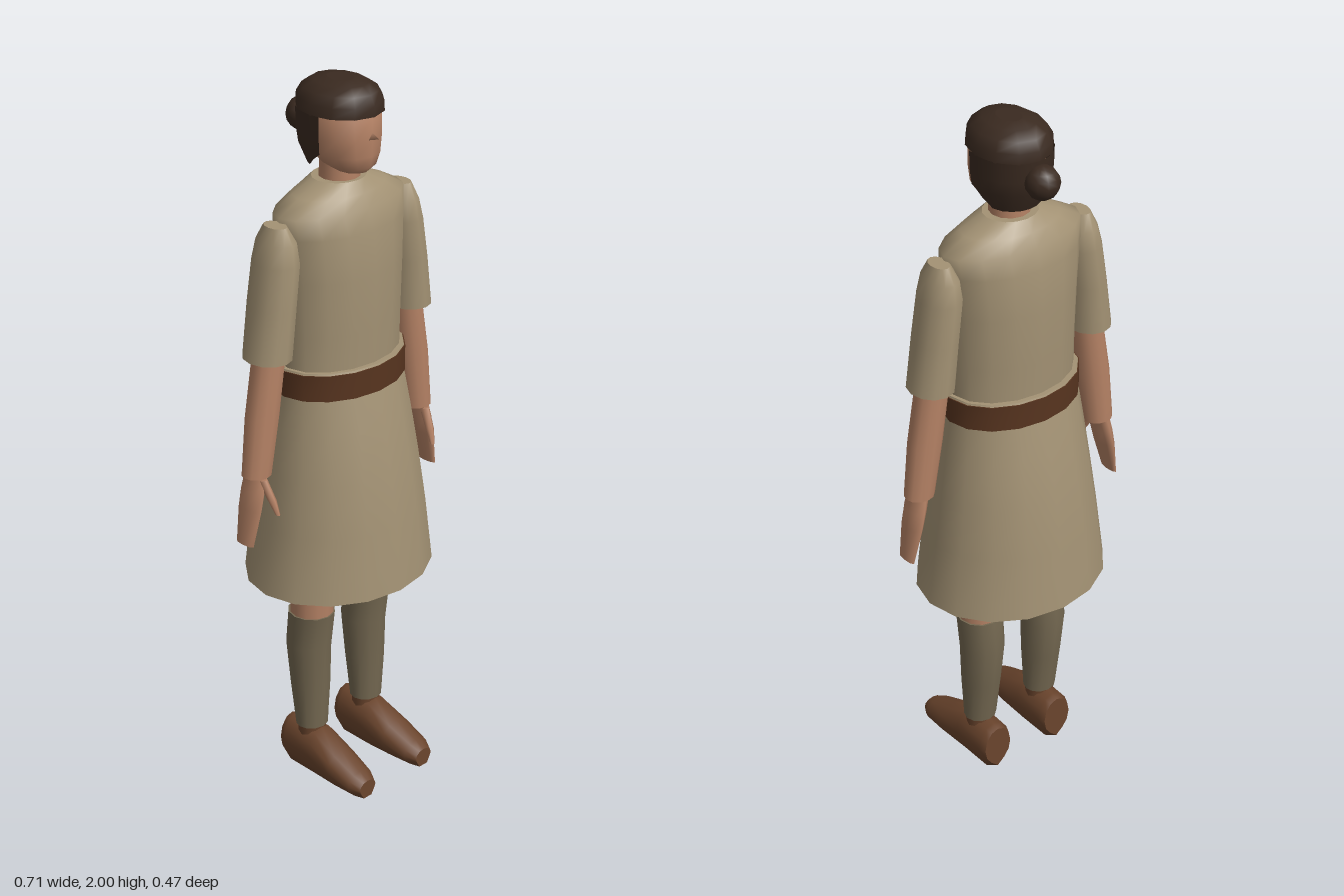
import * as THREE from 'three';

const mat = (name, color, side = THREE.FrontSide) => {
  const m = new THREE.MeshStandardMaterial({ color, side });
  m.name = name;
  return m;
};

// Lofts elliptical rings [height, centreX, centreZ, radiusX, radiusZ], listed bottom to top.
// An arc below a full turn gives an open shell.
function loft(rings, { sides = 16, caps = true, from = 0, arc = Math.PI * 2 } = {}) {
  const closed = arc > 6.28, n = closed ? sides : sides + 1;
  const pos = [], idx = [];
  const addRing = ([y, cx, cz, rx, rz]) => {
    for (let j = 0; j < n; j++) {
      const a = from + (arc * j) / sides;
      pos.push(cx + Math.sin(a) * rx, y, cz + Math.cos(a) * rz);
    }
  };
  rings.forEach(addRing);
  for (let i = 0; i < rings.length - 1; i++) {
    for (let j = 0; j < sides; j++) {
      const k = (j + 1) % n;
      const a = i * n + j, b = i * n + k, c = a + n, d = b + n;
      idx.push(a, b, d, a, d, c);
    }
  }
  // Flat ends with their own vertices, so the rim stays sharp
  if (caps && closed) {
    [[rings[0], false], [rings[rings.length - 1], true]].forEach(([ring, up]) => {
      const s = pos.length / 3;
      addRing(ring);
      for (let j = 1; j < n - 1; j++) idx.push(s, ...(up ? [s + j, s + j + 1] : [s + j + 1, s + j]));
    });
  }
  const g = new THREE.BufferGeometry();
  g.setAttribute('position', new THREE.Float32BufferAttribute(pos, 3));
  g.setIndex(idx);
  g.computeVertexNormals();
  return g;
}

export function createModel() {
  const model = new THREE.Group();
  model.name = 'figure';
  const cloth = mat('tunic cloth', 0xa39274, THREE.DoubleSide);
  const skin = mat('skin', 0xb58265);
  const hair = mat('hair', 0x3a2a20, THREE.DoubleSide);
  const belt = mat('belt leather', 0x57341f);
  const sock = mat('sock wool', 0x746851);
  const shoe = mat('shoe leather', 0x6b452d);

  const add = (name, geo, material, parent = model) => {
    const m = new THREE.Mesh(geo, material);
    m.name = name;
    parent.add(m);
    return m;
  };

  // Tunic
  add('torso', loft([
    [1.18, 0, 0, 0.185, 0.13], [1.35, 0, 0, 0.186, 0.135], [1.5, 0, 0, 0.192, 0.137],
    [1.62, 0, 0, 0.204, 0.128], [1.675, 0, 0, 0.209, 0.11], [1.71, 0, 0, 0.145, 0.09],
    [1.74, 0, 0, 0.075, 0.068],
  ]), cloth);
  add('skirt', loft([
    [0.615, 0, 0, 0.274, 0.235], [0.8, 0, 0, 0.25, 0.218], [0.95, 0, 0, 0.229, 0.197],
    [1.08, 0, 0, 0.211, 0.172], [1.2, 0, 0, 0.194, 0.143],
  ], { caps: false }), cloth);
  add('belt', loft([[1.178, 0, 0, 0.2, 0.15], [1.25, 0, 0, 0.2, 0.15]]), belt);
  add('waistFold', loft([[1.25, 0, 0, 0.197, 0.147], [1.255, 0, 0, 0.195, 0.145]]), cloth);

  // Head
  add('neck', loft([[1.7, 0, 0.003, 0.056, 0.055], [1.82, 0, 0.003, 0.054, 0.053]], { sides: 12 }), skin);
  add('head', loft([
    [1.768, 0, 0.045, 0.04, 0.05], [1.785, 0, 0.035, 0.064, 0.077], [1.815, 0, 0.022, 0.085, 0.096],
    [1.86, 0, 0.015, 0.094, 0.105], [1.92, 0, 0.01, 0.098, 0.108], [1.97, 0, 0.008, 0.07, 0.08],
  ], { sides: 12 }), skin);
  const nose = new THREE.ConeGeometry(0.015, 0.03, 3);
  nose.rotateX(Math.PI / 2).rotateZ(Math.PI);
  const noseUp = add('nose', nose, skin);
  noseUp.position.set(0, 1.868, 0.127);

  // Hair: crown, shell around the back and sides, bun
  add('hairCrown', loft([
    [1.922, 0, 0.004, 0.106, 0.122], [1.95, 0, 0.004, 0.103, 0.122], [1.975, 0, 0.005, 0.089, 0.108],
    [1.993, 0, 0.006, 0.062, 0.08], [2.0, 0, 0.006, 0.03, 0.04],
  ], { sides: 12 }), hair);
  const back = loft([
    [1.775, 0, 0.004, 0.08, 0.086], [1.83, 0, 0.004, 0.101, 0.112],
    [1.87, 0, 0.004, 0.105, 0.12], [1.924, 0, 0.004, 0.106, 0.122],
  ], { sides: 12, from: 1.34, arc: Math.PI * 2 - 2.68 });
  // Raise the lower edge toward the ears
  const p = back.attributes.position;
  for (let i = 0; i <= 12; i++) {
    const t = THREE.MathUtils.clamp((p.getZ(i) + 0.03) / 0.05, 0, 1);
    p.setY(i, p.getY(i) + 0.045 * t);
    p.setX(i, p.getX(i) * (1 + 0.18 * t));
  }
  back.computeVertexNormals();
  add('hairBack', back, hair);
  add('hairBun', new THREE.SphereGeometry(0.046, 10, 8), hair).position.set(0, 1.87, -0.129);

  // Limbs, left (+x) then right
  for (const s of [1, -1]) {
    const side = s > 0 ? 'left' : 'right';
    const limb = (name, material, rings, sides = 12) =>
      add(side + name, loft(rings.map(([y, x, ...r]) => [y, x * s, ...r]), { sides }), material);

    limb('Sleeve', cloth, [
      [1.31, 0.257, 0, 0.061, 0.07], [1.45, 0.24, 0, 0.058, 0.071], [1.565, 0.224, 0, 0.056, 0.069],
      [1.62, 0.221, 0, 0.045, 0.06], [1.662, 0.224, 0, 0.024, 0.036],
    ]);
    limb('Arm', skin, [
      [0.99, 0.3, 0, 0.042, 0.038], [1.15, 0.278, 0, 0.048, 0.043], [1.34, 0.248, 0, 0.046, 0.043],
    ]);
    limb('Hand', skin, [
      [0.8, 0.345, 0, 0.009, 0.032], [0.9, 0.325, 0, 0.019, 0.042],
      [0.95, 0.314, 0, 0.022, 0.041], [1.0, 0.302, 0, 0.024, 0.034],
    ], 8);
    limb('Thumb', skin, [
      [0.892, 0.292, 0.07, 0.006, 0.007], [0.93, 0.297, 0.055, 0.011, 0.012], [0.985, 0.305, 0.025, 0.013, 0.015],
    ], 6);

    limb('Leg', skin, [
      [0.48, 0.106, 0.002, 0.059, 0.061], [0.65, 0.106, 0.006, 0.063, 0.064], [0.95, 0.106, 0.006, 0.075, 0.075],
    ]);
    limb('Sock', sock, [
      [0.145, 0.106, 0.002, 0.047, 0.043], [0.28, 0.106, -0.004, 0.056, 0.057],
      [0.4, 0.106, -0.01, 0.062, 0.065], [0.505, 0.106, 0.002, 0.064, 0.066],
    ]);
    limb('Ankle', shoe, [[0.11, 0.106, 0.002, 0.04, 0.038], [0.147, 0.106, 0.002, 0.042, 0.039]]);
    // Shoe runs heel to toe, so its loft is laid forward
    const foot = limb('Shoe', shoe, [
      [-0.08, 0.106, -0.073, 0.044, 0.062], [-0.06, 0.106, -0.073, 0.052, 0.07],
      [0.04, 0.106, -0.07, 0.056, 0.07], [0.12, 0.109, -0.051, 0.056, 0.05],
      [0.195, 0.111, -0.035, 0.047, 0.033], [0.225, 0.111, -0.03, 0.03, 0.022],
    ]);
    foot.geometry.rotateX(Math.PI / 2);
    // Flatten the sole
    const f = foot.geometry.attributes.position;
    for (let i = 0; i < f.count; i++) if (f.getY(i) < 0.016) f.setY(i, Math.max(0, f.getY(i) - 0.012));
    foot.geometry.computeVertexNormals();
  }
  return model;
}
